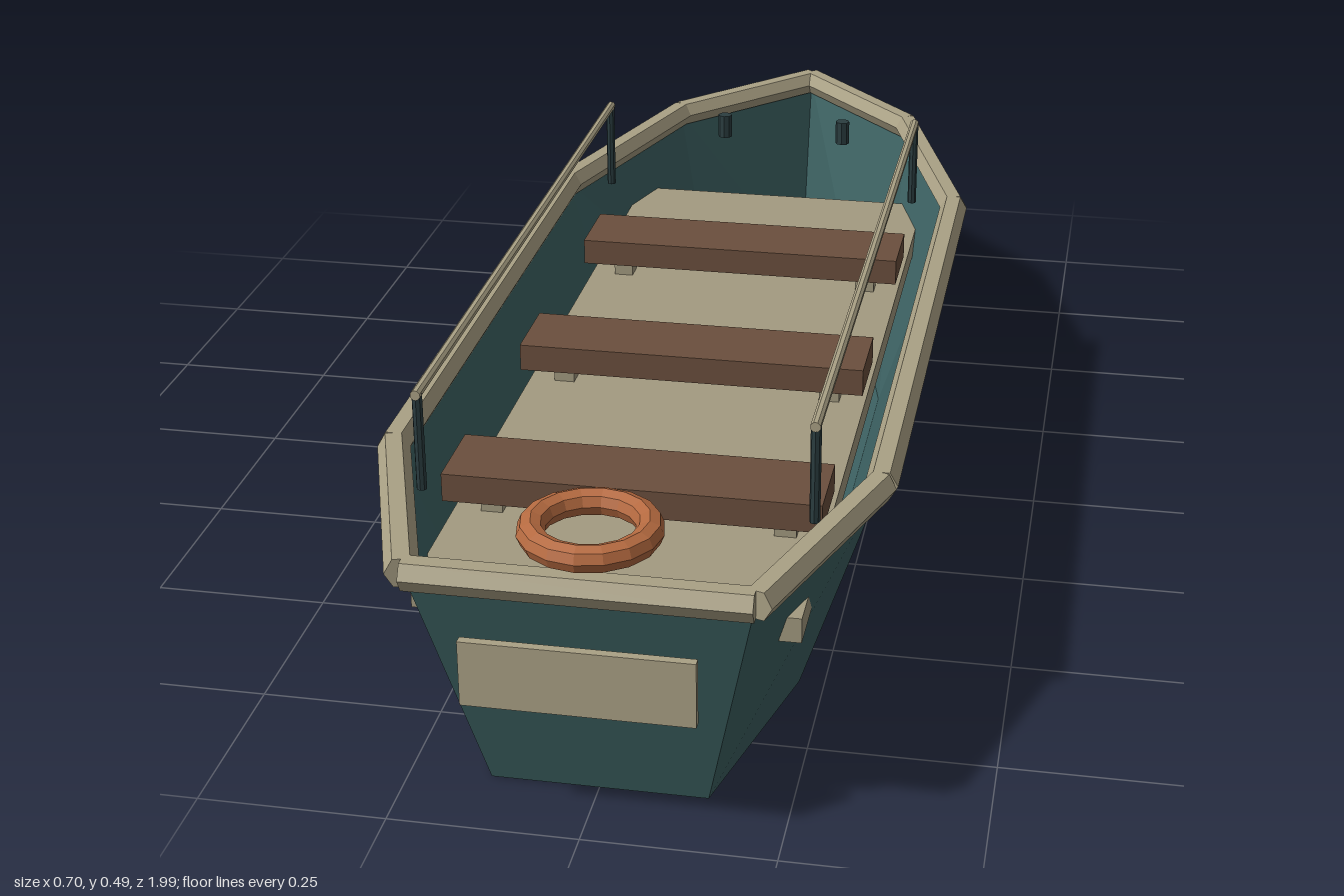
import * as THREE from 'three';

const mat = (color, side = THREE.FrontSide) =>
  new THREE.MeshStandardMaterial({ color, side, flatShading: true });

const RIM_Y = 0.346;
// Half outline at the gunwale, stern to bow: [x, z]
const HALF = [[0.217, 0.978], [0.327, 0.65], [0.327, -0.36], [0.208, -0.75], [0, -0.98]];
const OUTLINE = [...HALF, ...HALF.slice(0, -1).reverse().map(([x, z]) => [-x, z])];

export function createModel() {
  const boat = new THREE.Group();
  boat.name = 'rowingBoat';

  const teal = mat(0x3d6263, THREE.DoubleSide);
  const trim = mat(0xaaa185);
  const planks = mat(0xa39a80);
  const wood = mat(0x6b4f3d);
  const iron = mat(0x2b3d40);
  const orange = mat(0xb56a40);

  const add = (name, geometry, material, x = 0, y = 0, z = 0) => {
    const mesh = new THREE.Mesh(geometry, material);
    mesh.name = name;
    mesh.position.set(x, y, z);
    boat.add(mesh);
    return mesh;
  };
  const box = (name, material, w, y0, y1, d, x, z) =>
    add(name, new THREE.BoxGeometry(w, y1 - y0, d), material, x, (y0 + y1) / 2, z);
  const post = (name, material, r, y0, y1, x, z) =>
    add(name, new THREE.CylinderGeometry(r, r, y1 - y0, 8), material, x, (y0 + y1) / 2, z);
  // Bar running between two points
  const bar = (name, material, r, sides, a, b) => {
    const g = new THREE.CylinderGeometry(r, r, a.distanceTo(b), sides, 1, false, Math.PI / sides);
    g.rotateX(Math.PI / 2);
    const mid = a.clone().add(b).multiplyScalar(0.5);
    add(name, g, material, mid.x, mid.y, mid.z).lookAt(b);
  };

  // Hull: open shell whose flat bottom is a shrunken copy of the gunwale
  const top = OUTLINE.map(([x, z]) => [x, RIM_Y, z]);
  const low = OUTLINE.map(([x, z]) => [x * 0.658, 0, z * 0.905]);
  const verts = [];
  top.forEach((t, i) => {
    const j = (i + 1) % top.length;
    verts.push(...low[i], ...low[j], ...top[j], ...low[i], ...top[j], ...t);
    verts.push(0, 0, 0, ...low[j], ...low[i]);
  });
  const hull = new THREE.BufferGeometry();
  hull.setAttribute('position', new THREE.Float32BufferAttribute(verts, 3));
  hull.computeVertexNormals();
  add('hull', hull, teal);

  // Gunwale: six-sided rails around the outline
  top.forEach((t, i) => bar('gunwale', trim, 0.022, 6,
    new THREE.Vector3(...t), new THREE.Vector3(...top[(i + 1) % top.length])));

  // Floor deck, its corners showing through the hull sides
  box('floorDeck', planks, 0.506, 0.215, 0.25, 1.45, 0, 0.115);

  // Benches on short legs
  for (const z of [-0.22, 0.2, 0.62]) {
    box('bench', wood, 0.51, 0.285, 0.325, 0.12, 0, z);
    for (const x of [-0.2, 0.2]) box('benchLeg', planks, 0.03, 0.25, 0.285, 0.03, x, z);
  }

  // Stern plate
  box('sternPlate', trim, 0.296, 0.176, 0.266, 0.012, 0, 0.988);

  // Side rails and bow bollards
  for (const s of [-1, 1]) {
    const x = s * 0.256;
    for (const z of [0.76, -0.375]) post('railPost', iron, 0.007, 0.345, 0.481, x, z);
    bar('handRail', trim, 0.007, 8,
      new THREE.Vector3(x, 0.481, 0.768), new THREE.Vector3(x, 0.481, -0.383));
    post('bowBollard', iron, 0.012, 0.35, 0.39, s * 0.105, -0.63);
  }

  // Life ring lying on the stern
  const ring = new THREE.TorusGeometry(0.074, 0.018, 8, 16);
  ring.rotateX(Math.PI / 2);
  add('lifeRing', ring, orange, 0, 0.385, 0.9);

  return boat;
}
